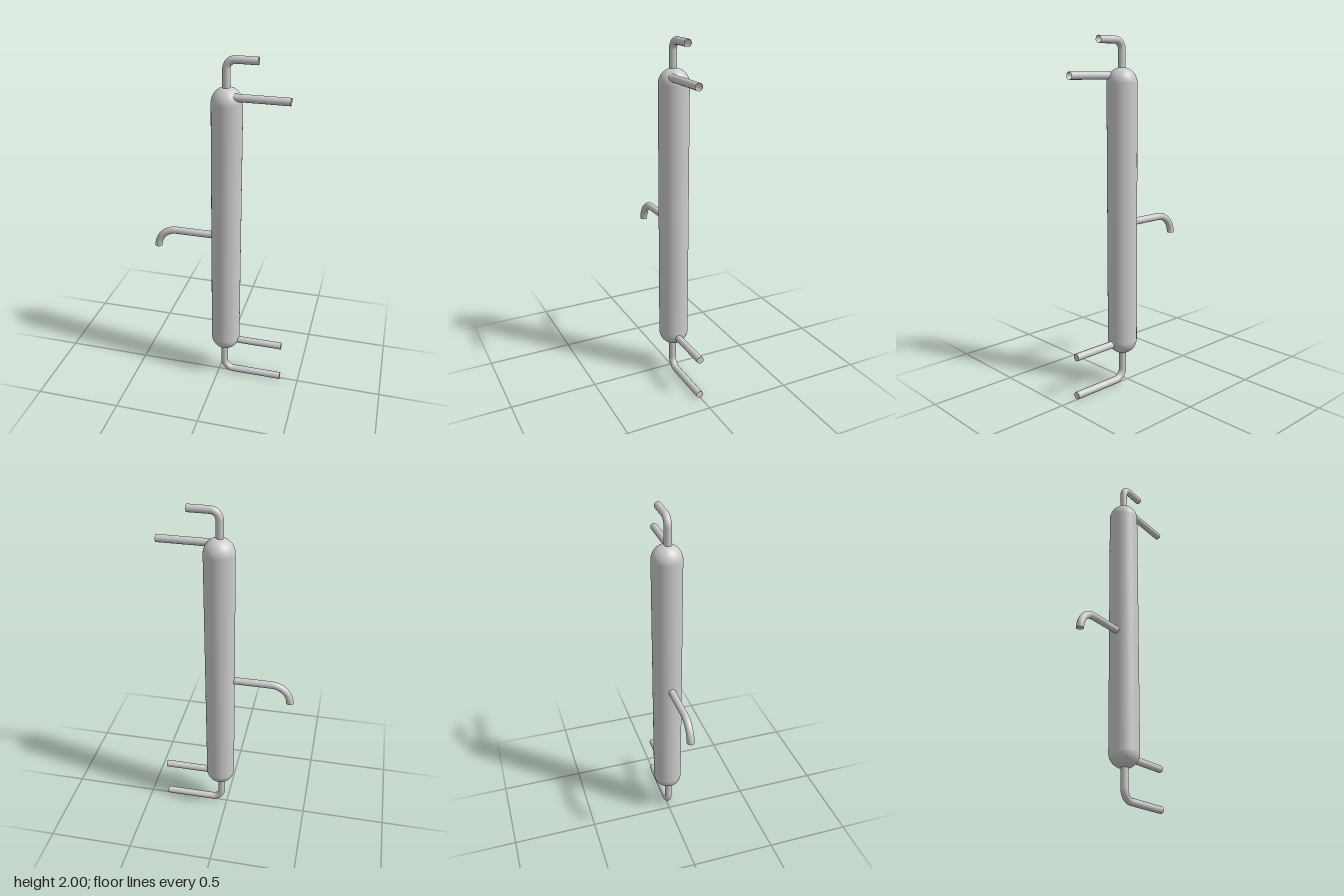
import * as THREE from 'three';

const PIPE_R = 0.021;
const material = new THREE.MeshStandardMaterial({ color: 0xcccccc, side: THREE.DoubleSide });

// Pipe through 2 points (straight) or 3 points (rounded elbow at the middle one)
function makePipe(name, points, { bend = 0.06, z = 0.004, capped = true } = {}) {
  const pts = points.map(([x, y]) => new THREE.Vector3(x, y, z));
  const path = new THREE.CurvePath();
  if (pts.length === 2) {
    path.add(new THREE.LineCurve3(pts[0], pts[1]));
  } else {
    const [a, corner, b] = pts;
    const toward = (p, d) => corner.clone().add(p.clone().sub(corner).setLength(d));
    const start = toward(a, bend);
    const end = toward(b, bend);
    path.add(new THREE.LineCurve3(a, start));
    // circular quarter bend: handles at 0.5523 of the radius
    path.add(new THREE.CubicBezierCurve3(start, toward(a, bend * 0.4477), toward(b, bend * 0.4477), end));
    if (end.distanceTo(b) > 0.001) path.add(new THREE.LineCurve3(end, b));
  }
  const group = new THREE.Group();
  group.name = name;
  const segments = pts.length === 2 ? 1 : 64;
  group.add(new THREE.Mesh(new THREE.TubeGeometry(path, segments, PIPE_R, 24), material));

  // Flat disc on the outer end
  if (capped) {
    const cap = new THREE.Mesh(new THREE.CircleGeometry(PIPE_R, 24), material);
    cap.position.copy(path.getPoint(1));
    cap.quaternion.setFromUnitVectors(new THREE.Vector3(0, 0, 1), path.getTangent(1).normalize());
    group.add(cap);
  }
  return group;
}

export function createModel() {
  const model = new THREE.Group();
  model.name = 'pressureVessel';

  // Upright tank with domed ends
  const tank = new THREE.Mesh(new THREE.CapsuleGeometry(0.085, 1.48, 16, 48), material);
  tank.name = 'tank';
  tank.position.set(0.04, 1.01, 0);
  model.add(tank);

  // Pipes leaving the tank
  model.add(
    makePipe('topOutlet', [[0.037, 1.8], [0.037, 1.979], [0.207, 1.979]], { bend: 0.05, capped: false }),
    makePipe('upperSidePipe', [[0.06, 1.79], [0.385, 1.79]], { z: 0.034, capped: false }),
    makePipe('lowerSidePipe', [[0.06, 0.25], [0.39, 0.25]], { z: 0.005 }),
    makePipe('bottomOutlet', [[0.035, 0.22], [0.035, 0.022], [0.39, 0.022]], { bend: 0.06 }),
    makePipe('sideSpout', [[-0.02, 0.96], [-0.37, 0.96], [-0.37, 0.848]], { bend: 0.112 }),
  );
  return model;
}
